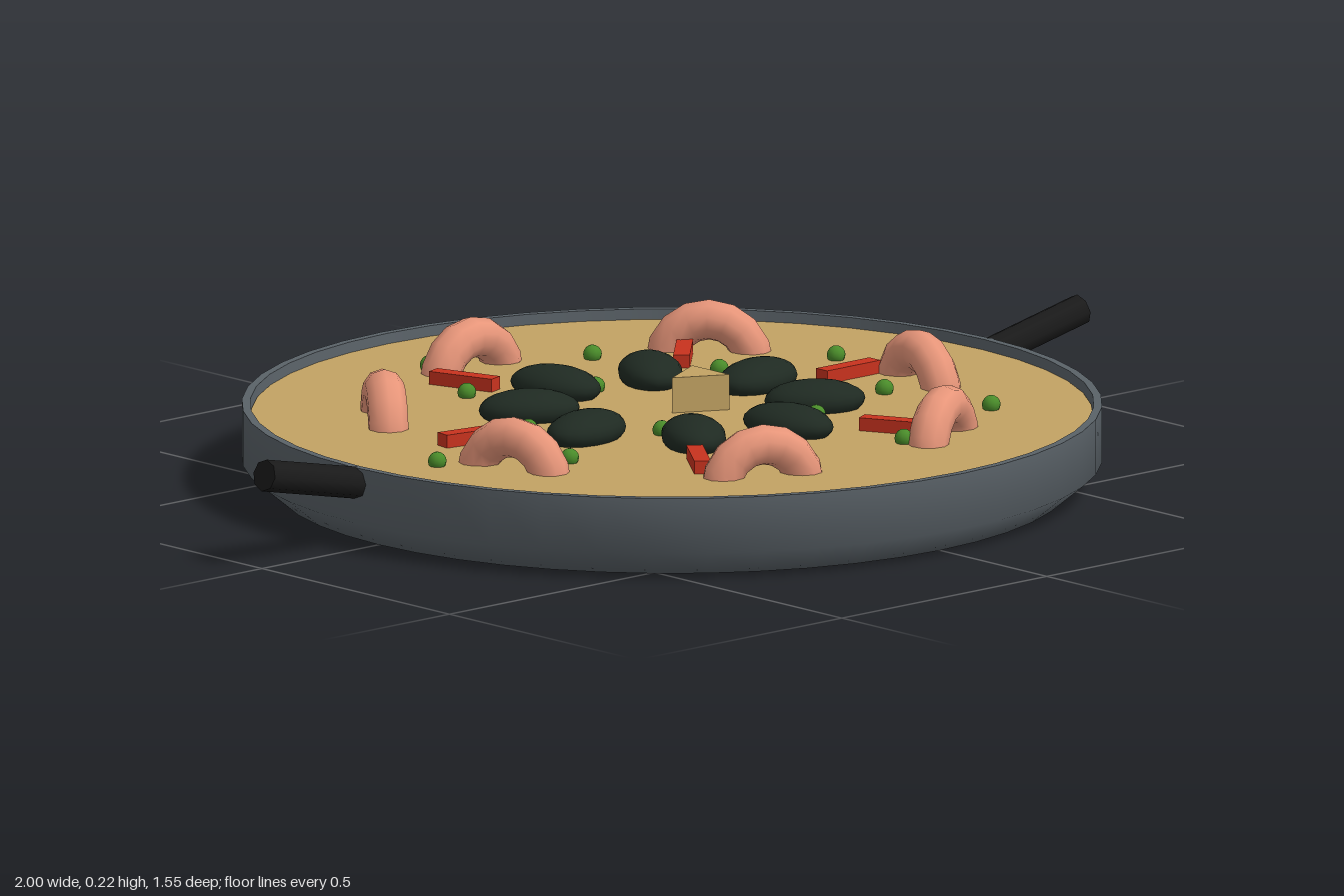
import * as THREE from 'three';

const mat = (name, color) => {
  const m = new THREE.MeshStandardMaterial({ color });
  m.name = name;
  return m;
};

export function createModel() {
  const model = new THREE.Group();
  model.name = 'riceDish';

  const steel = mat('panGrey', 0x5a6268);
  const black = mat('handleBlack', 0x1a1a1a);
  const rice = mat('riceTan', 0xc2a263);
  const pink = mat('shrimpPink', 0xe8967a);
  const shell = mat('musselDark', 0x1f2a22);
  const red = mat('pepperRed', 0xc8321e);
  const green = mat('peaGreen', 0x4a8c2a);

  const RICE_Y = 0.133;

  const add = (name, geometry, material, x = 0, y = 0, z = 0, parent = model) => {
    const mesh = new THREE.Mesh(geometry, material);
    mesh.name = name;
    mesh.position.set(x, y, z);
    parent.add(mesh);
    return mesh;
  };
  const addGroup = (name) => {
    const g = new THREE.Group();
    g.name = name;
    model.add(g);
    return g;
  };
  const lathe = (pairs) =>
    new THREE.LatheGeometry(pairs.map(([r, y]) => new THREE.Vector2(r, y)), 48);

  // Places count copies in a ring; local x points outward from the centre
  const ring = (name, count, radius, start, step, y, geometry, material) => {
    const group = addGroup(name + 'Ring');
    for (let i = 0; i < count; i++) {
      const a = start + i * step;
      const m = add(name, geometry, material, Math.cos(a) * radius, y, Math.sin(a) * radius, group);
      m.rotation.y = -a;
    }
  };

  // Shallow pan: outer shell, flat rim and inner wall
  add('panShell', lathe([[0, 0], [0.715, 0], [0.775, 0.05], [0.775, 0.152]]), steel);
  add('panRim', lathe([[0.775, 0.152], [0.76, 0.152]]), steel);
  add('panInnerWall', lathe([[0.76, 0.152], [0.757, 0.1]]), steel);

  // Rice filling
  add('rice', new THREE.CylinderGeometry(0.758, 0.75, 0.06, 48), rice, 0, RICE_Y - 0.03, 0);

  // Two handles tilted upward
  const handleGeo = new THREE.CylinderGeometry(0.029, 0.029, 0.23, 8);
  for (const side of [-1, 1]) {
    const h = add(side > 0 ? 'leftHandle' : 'rightHandle', handleGeo, black, side * 0.882, 0.147, 0);
    h.rotation.z = -side * (Math.PI / 2 - 0.21);
  }

  // Shrimps: upright arches lying along the ring
  const shrimpGeo = new THREE.TorusGeometry(0.08, 0.037, 10, 8, Math.PI);
  shrimpGeo.rotateY(Math.PI / 2);
  ring('shrimp', 7, 0.52, 0.197, (Math.PI * 2) / 7, 0.108, shrimpGeo, pink);

  // Mussels: flattened ovals pointing outward
  const musselGeo = new THREE.SphereGeometry(1, 16, 12);
  musselGeo.scale(0.092, 0.036, 0.058);
  ring('mussel', 8, 0.26, -0.195, Math.PI / 4, 0.15, musselGeo, shell);

  // Pepper strips
  const stripGeo = new THREE.BoxGeometry(0.13, 0.024, 0.03);
  ring('pepperStrip', 6, 0.43, 0, 1.1, 0.145, stripGeo, red);

  // Scattered peas
  const peas = addGroup('peas');
  const peaGeo = new THREE.SphereGeometry(0.017, 10, 8);
  [
    [-0.085, -0.555], [0.19, -0.42], [-0.185, -0.345], [0.28, -0.18],
    [0.51, -0.12], [0.02, -0.225], [-0.3, -0.055], [-0.6, 0.03],
    [-0.405, 0.17], [-0.13, 0.115], [-0.095, 0.35], [0.16, 0.21],
    [0.39, 0.14], [0.445, 0.365], [0.145, 0.46], [0.1, 0],
  ].forEach(([x, z]) => add('pea', peaGeo, green, x, 0.142, z, peas));

  // Central wedge: a triangular block with its tip at the centre
  const tri = new THREE.Shape([
    new THREE.Vector2(0, 0), new THREE.Vector2(0.095, -0.05), new THREE.Vector2(0.095, 0.05),
  ]);
  const wedgeGeo = new THREE.ExtrudeGeometry(tri, { depth: 0.075, bevelEnabled: false });
  wedgeGeo.rotateX(-Math.PI / 2);
  add('wedge', wedgeGeo, rice, 0, RICE_Y - 0.01, 0);

  return model;
}
